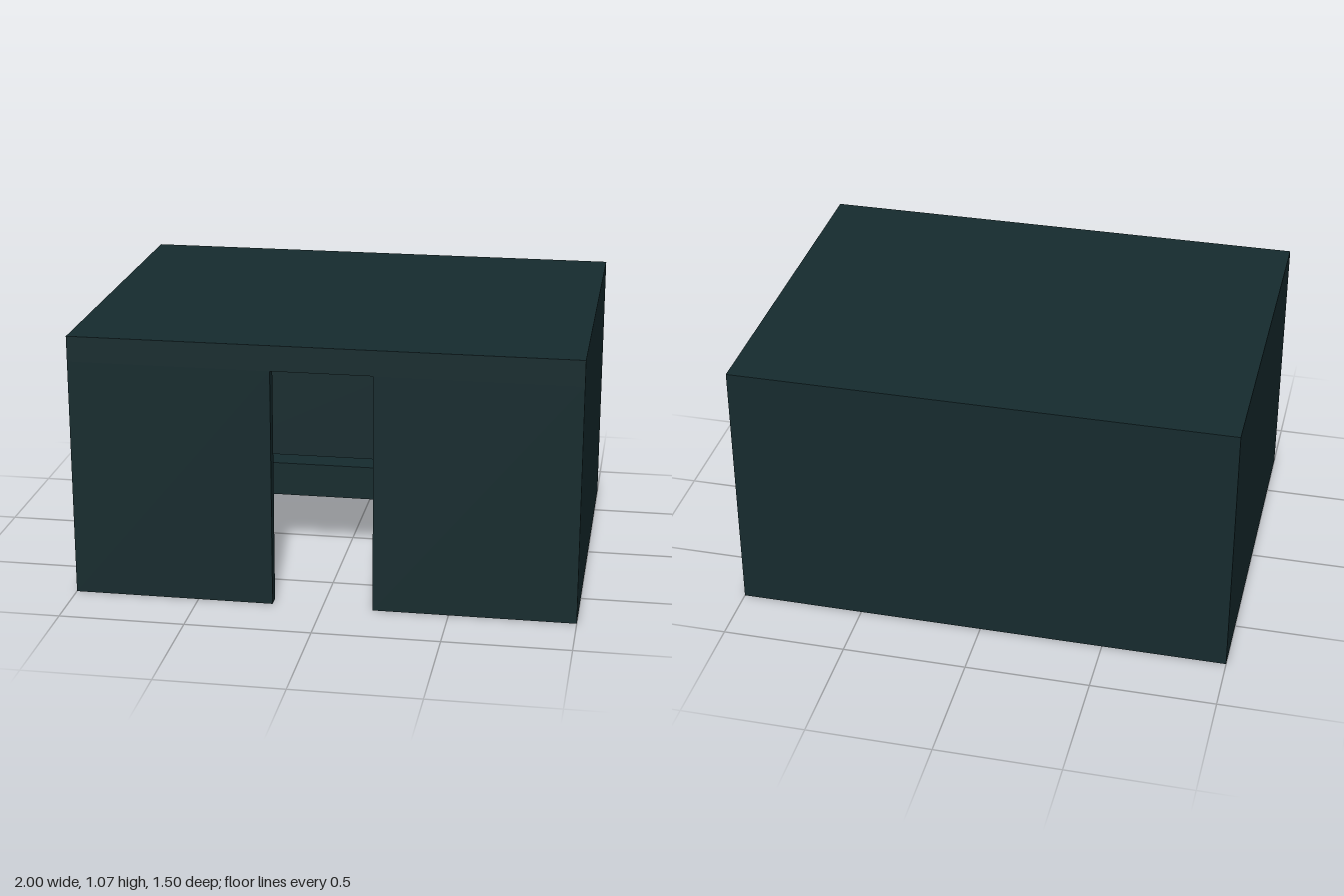
import * as THREE from 'three';

const material = new THREE.MeshStandardMaterial({ color: 0x162b2e });

// Box given by its extents on each axis
function block(name, [x0, x1], [y0, y1], [z0, z1]) {
  const mesh = new THREE.Mesh(new THREE.BoxGeometry(x1 - x0, y1 - y0, z1 - z0), material);
  mesh.name = name;
  mesh.position.set((x0 + x1) / 2, (y0 + y1) / 2, (z0 + z1) / 2);
  return mesh;
}

export function createModel() {
  const model = new THREE.Group();
  model.name = 'room';
  const W = 1, D = 0.75, H = 1.065, T = 0.05; // half width, half depth, height, wall thickness
  const ceiling = 0.963; // also the top of the doorway

  // Shell: walls, a front split by the doorway, a thick roof slab and no floor
  model.add(
    block('frontWallRight', [-W, -0.2], [0, ceiling], [D - T, D]),
    block('frontWallLeft', [0.2, W], [0, ceiling], [D - T, D]),
    block('backWall', [-W, W], [0, ceiling], [-D, -D + T]),
    block('leftWall', [W - T, W], [0, ceiling], [-D + T, D - T]),
    block('rightWall', [-W, -W + T], [0, ceiling], [-D + T, D - T]),
    block('roof', [-W, W], [ceiling, H], [-D, D]),
  );

  // Thin screen of two panels in the back corner
  const screen = new THREE.Group();
  screen.name = 'cornerScreen';
  screen.add(
    block('screenFront', [0.447, 0.92], [0, 0.4], [-0.232, -0.227]),
    block('screenSide', [0.447, 0.452], [0, 0.4], [-0.585, -0.232]),
  );
  model.add(screen);

  // Furniture
  model.add(
    block('longBench', [-0.875, 0.24], [0, 0.15], [-0.59, -0.47]),
    block('shortBench', [-0.935, -0.53], [0, 0.135], [0.445, 0.55]),
    block('cabinet', [0.355, 0.5], [0, 0.225], [0.415, 0.5]),
    block('wallBench', [0.89, W - T], [0, 0.15], [-0.07, 0.275]),
  );
  return model;
}
